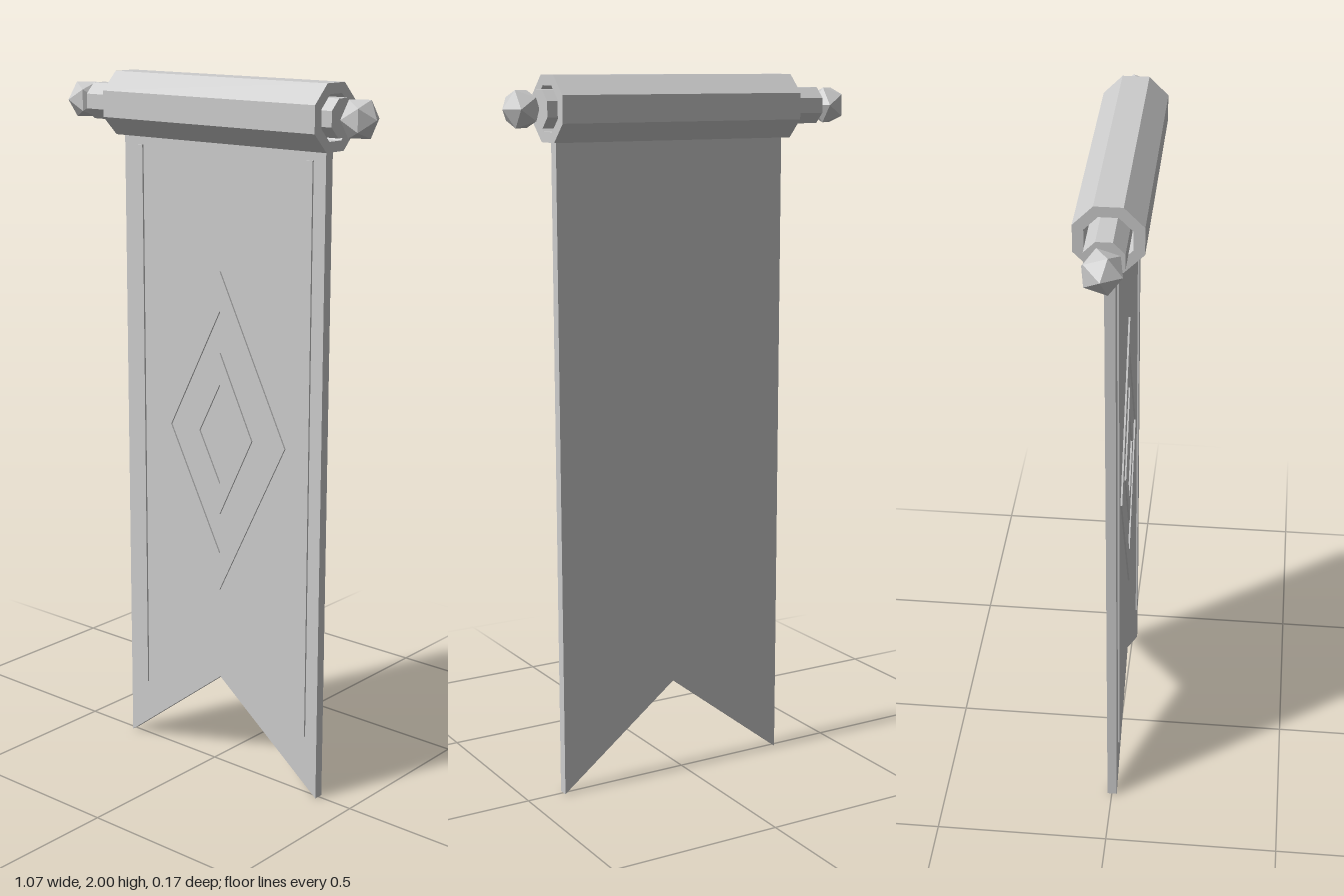
import * as THREE from 'three';

const MID_X = 0.035;   // centre line of the cloth
const ROD_Y = 1.9125;  // height of the rod axis

export function createModel() {
  const group = new THREE.Group();
  const grey = new THREE.MeshStandardMaterial({ color: 0xcccccc, flatShading: true });
  grey.name = 'plain grey';

  const add = (name, geometry, x = 0, y = 0, z = 0) => {
    const mesh = new THREE.Mesh(geometry, grey);
    mesh.name = name;
    mesh.position.set(x, y, z);
    group.add(mesh);
    return mesh;
  };
  const points = (list) => list.map(([x, y]) => new THREE.Vector2(x, y));
  const extrude = (shape, depth) =>
    new THREE.ExtrudeGeometry(shape, { depth, bevelEnabled: false });

  // Octagon with flat sides up and down, measured to its flats
  const octagon = (apothem) => {
    const r = apothem / Math.cos(Math.PI / 8);
    return points(Array.from({ length: 8 }, (_, i) => {
      const a = (i + 0.5) * Math.PI / 4;
      return [r * Math.cos(a), r * Math.sin(a)];
    }));
  };
  // Octagonal bar or tube lying along x
  const bar = (x0, x1, outer, inner) => {
    const shape = new THREE.Shape(octagon(outer));
    if (inner) shape.holes.push(new THREE.Path(octagon(inner)));
    return extrude(shape, x1 - x0).rotateY(Math.PI / 2).translate(x0, 0, 0);
  };

  // Hanging rod and the hollow sleeve around it
  add('rod', bar(-0.434, 0.432, 0.05), 0, ROD_Y);
  add('sleeve', bar(-0.333, 0.407, 0.0875, 0.06), 0, ROD_Y);

  // Faceted finials, one corner pointing outwards
  const golden = (1 + Math.sqrt(5)) / 2;
  for (const side of [-1, 1]) {
    const knob = new THREE.IcosahedronGeometry(0.053, 0)
      .rotateY(Math.atan(1 / golden))
      .scale(1, 1.08, 1.08);
    if (side < 0) knob.rotateY(Math.PI);
    add(side < 0 ? 'rightFinial' : 'leftFinial', knob, side * 0.483, ROD_Y);
  }

  // Swallow-tailed cloth
  const cloth = new THREE.Shape(points([
    [-0.355, 0], [0, 0.275], [0.355, 0], [0.355, 1.84], [-0.355, 1.84],
  ]));
  add('cloth', extrude(cloth, 0.028), MID_X, 0, -0.013);

  // Raised trim on the front: side strips and two nested diamond rings
  for (const side of [-1, 1]) {
    add(side < 0 ? 'rightStrip' : 'leftStrip',
      new THREE.BoxGeometry(0.03, 1.62, 0.006), MID_X + side * 0.3, 0.99, 0.017);
  }
  const diamond = (w, h) => points([[w, 0], [0, h], [-w, 0], [0, -h]]);
  const ring = (w, h, innerW, innerH) => {
    const shape = new THREE.Shape(diamond(w, h));
    shape.holes.push(new THREE.Path(diamond(innerW, innerH)));
    return extrude(shape, 0.006);
  };
  add('outerDiamond', ring(0.233, 0.464, 0.183, 0.354), MID_X, 1.01, 0.014);
  add('innerDiamond', ring(0.116, 0.235, 0.075, 0.145), MID_X, 1.01, 0.014);

  return group;
}
